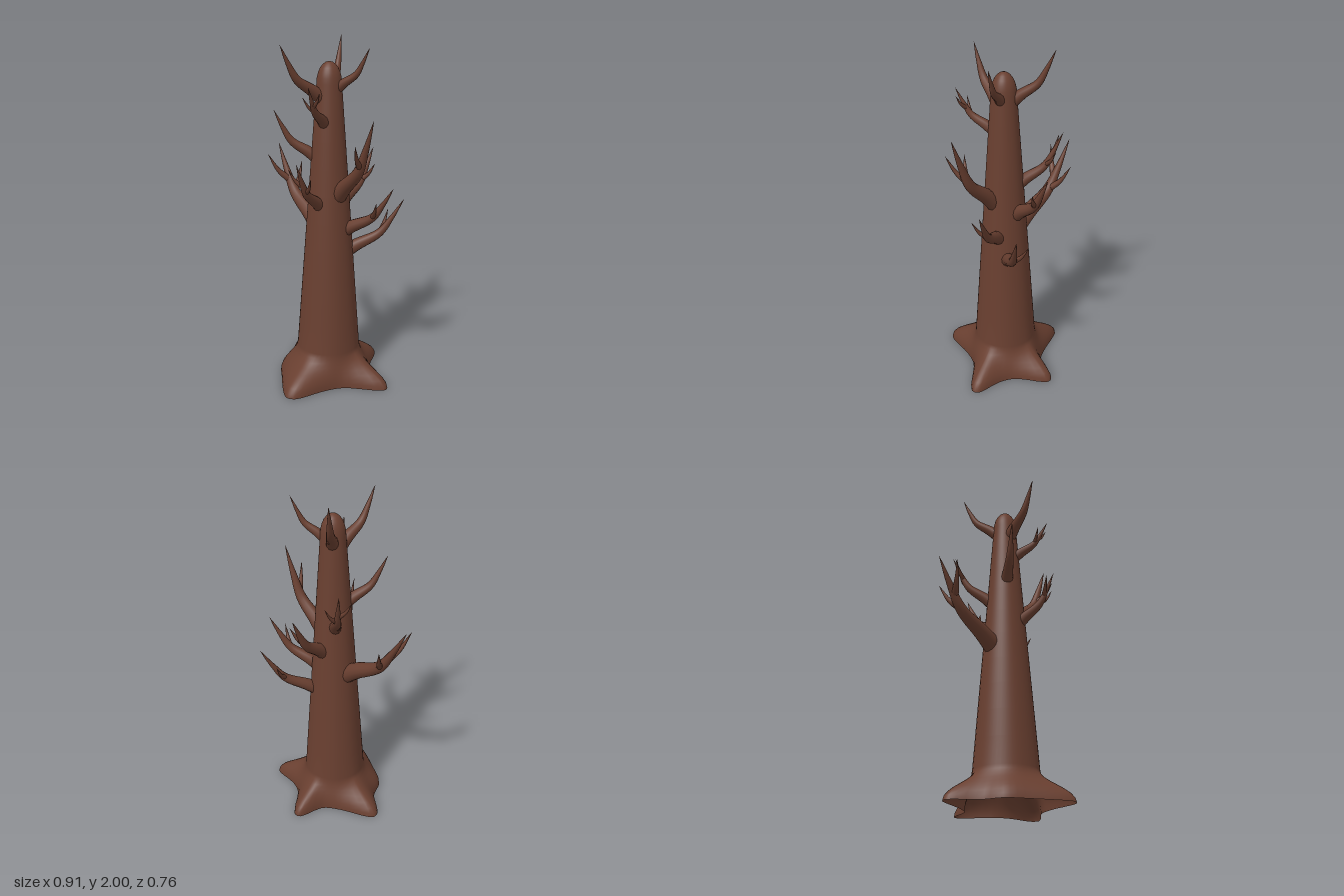
import * as THREE from 'three';

const AXIS_X = 0.066, AXIS_Z = -0.003; // trunk axis
const SIDES = 64;
const FLARE_TOP = 0.2, DOME_BASE = 1.75, TOP = 1.87;

// Outline of the spreading roots on the ground, as [x, z]
const ROOTS = [
  [0.45, -0.12], [0.29, 0.05], [0.25, 0.155], [0.22, 0.345], [0.185, 0.378], [0.145, 0.375],
  [-0.04, 0.27], [-0.15, 0.195], [-0.2, 0.08], [-0.32, -0.03], [-0.32, -0.075], [-0.12, -0.165],
  [-0.03, -0.225], [0.025, -0.375], [0.065, -0.38], [0.19, -0.225], [0.28, -0.182], [0.435, -0.16],
];

// Each branch: base radius, height where it leaves the trunk, tip,
// and the side (+1 or -1) on which each of its twigs grows
const BRANCHES = [
  { r: 0.058, y: 0.9, tip: [-0.455, 1.34, -0.01], twigs: [1, -1] },
  { r: 0.05, y: 1.12, tip: [0.435, 1.59, -0.01], twigs: [1] },
  { r: 0.043, y: 0.91, tip: [0.41, 1.2, -0.185], twigs: [1] },
  { r: 0.043, y: 0.77, tip: [0.31, 1.09, -0.36], twigs: [-1] },
  { r: 0.046, y: 1.05, tip: [0.06, 1.355, -0.335], twigs: [1] },
  { r: 0.03, y: 1.72, tip: [0.27, 1.945, -0.115], twigs: [] },
  { r: 0.036, y: 1.71, tip: [-0.1, 1.995, -0.215], twigs: [] },
  { r: 0.038, y: 1.21, tip: [-0.17, 1.53, -0.22], twigs: [1, -1] },
  { r: 0.038, y: 1.33, tip: [-0.12, 1.605, 0.24], twigs: [] },
  { r: 0.04, y: 1.67, tip: [0.02, 1.96, 0.285], twigs: [] },
  { r: 0.034, y: 1.53, tip: [0.2, 1.755, 0.235], twigs: [1, -1] },
  { r: 0.038, y: 1.06, tip: [0.172, 1.355, 0.295], twigs: [-1, 1] },
];

// How every branch bends: [share of its reach, share of its rise]
const BEND = [[0, 0], [0.22, 0.15], [0.6, 0.37], [0.8, 0.65], [1, 1]];

// Straight taper, closed by a rounded dome
function trunkRadius(y) {
  const dome = Math.max(0, (y - DOME_BASE) / (TOP - DOME_BASE));
  return (0.2 - 0.0742 * Math.min(y, DOME_BASE)) * Math.sqrt(Math.max(0, 1 - dome * dome));
}

function ringHeights() {
  const heights = [];
  for (let i = 0; i < 8; i++) heights.push(FLARE_TOP * i / 8);
  for (let i = 0; i < 10; i++) heights.push(THREE.MathUtils.lerp(FLARE_TOP, DOME_BASE, i / 10));
  for (let i = 0; i <= 6; i++) heights.push(DOME_BASE + (TOP - DOME_BASE) * Math.sin(i / 6 * Math.PI / 2));
  return heights;
}

// Rings that blend from the root outline into the round trunk
function trunkGeometry() {
  const outline = new THREE.CatmullRomCurve3(
    ROOTS.map(([x, z]) => new THREE.Vector3(x, 0, z)), true, 'centripetal').getPoints(SIDES);
  const pos = [], index = [];
  ringHeights().forEach((y, i) => {
    const r = trunkRadius(y);
    const spread = 0.5 + 0.5 * Math.cos(Math.PI * Math.min(1, y / FLARE_TOP));
    for (let j = 0; j < SIDES; j++) {
      const p = outline[j];
      const a = Math.atan2(p.z - AXIS_Z, p.x - AXIS_X);
      pos.push(
        THREE.MathUtils.lerp(AXIS_X + r * Math.cos(a), p.x, spread), y,
        THREE.MathUtils.lerp(AXIS_Z + r * Math.sin(a), p.z, spread));
      if (i === 0) continue;
      const k = (j + 1) % SIDES, lo = (i - 1) * SIDES, hi = i * SIDES;
      index.push(lo + j, hi + j, lo + k, lo + k, hi + j, hi + k);
    }
  });
  const g = new THREE.BufferGeometry();
  g.setAttribute('position', new THREE.Float32BufferAttribute(pos, 3));
  g.setIndex(index);
  g.computeVertexNormals();
  return g;
}

// Tube along a curve that narrows to a point
function taperedTube(curve, radius, segments, sides) {
  const g = new THREE.TubeGeometry(curve, segments, radius, sides, false);
  const pos = g.attributes.position, v = new THREE.Vector3();
  for (let i = 0; i <= segments; i++) {
    const t = i / segments, c = curve.getPointAt(t);
    const taper = Math.max(0.01, Math.pow(1 - t, 0.85));
    for (let j = 0; j <= sides; j++) {
      const n = i * (sides + 1) + j;
      v.fromBufferAttribute(pos, n).sub(c).multiplyScalar(taper).add(c);
      pos.setXYZ(n, v.x, v.y, v.z);
    }
  }
  return g;
}

// Path from inside the trunk, out and then up to the tip
function limbCurve(start, tip) {
  return new THREE.CatmullRomCurve3(BEND.map(([reach, rise]) => new THREE.Vector3(
    THREE.MathUtils.lerp(start.x, tip.x, reach),
    THREE.MathUtils.lerp(start.y, tip.y, rise),
    THREE.MathUtils.lerp(start.z, tip.z, reach))), false, 'centripetal');
}

// Short shoot that leaves the limb sideways and turns up
function twigCurve(limb, outward, side, t) {
  const size = limb.getLength();
  const sideways = new THREE.Vector3(-outward.z, 0, outward.x).multiplyScalar(side);
  const from = limb.getPointAt(t);
  const at = (out, across, up) => from.clone().addScaledVector(outward, out * size)
    .addScaledVector(sideways, across * size).add(new THREE.Vector3(0, up * size, 0));
  return new THREE.CatmullRomCurve3([from, at(0.06, 0.09, 0.09), at(0.12, 0.17, 0.25)]);
}

export function createModel() {
  const bark = new THREE.MeshStandardMaterial({ color: 0x693f30, side: THREE.DoubleSide });
  bark.name = 'bark brown';
  const tree = new THREE.Group();
  tree.name = 'bareTree';
  const add = (parent, name, geometry) => {
    const mesh = new THREE.Mesh(geometry, bark);
    mesh.name = name;
    parent.add(mesh);
  };

  add(tree, 'trunkAndRoots', trunkGeometry());

  BRANCHES.forEach(({ r, y, tip, twigs }, i) => {
    const group = new THREE.Group();
    group.name = `branch${i + 1}`;
    const end = new THREE.Vector3(...tip);
    const outward = new THREE.Vector3(end.x - AXIS_X, 0, end.z - AXIS_Z).normalize();
    const start = new THREE.Vector3(AXIS_X, y, AXIS_Z).addScaledVector(outward, 0.6 * trunkRadius(y));
    const limb = limbCurve(start, end);
    add(group, 'limb', taperedTube(limb, r, 20, 12));
    twigs.forEach((side, n) => add(group, 'twig',
      taperedTube(twigCurve(limb, outward, side, 0.5 + 0.12 * n), 0.4 * r, 10, 8)));
    tree.add(group);
  });
  return tree;
}
